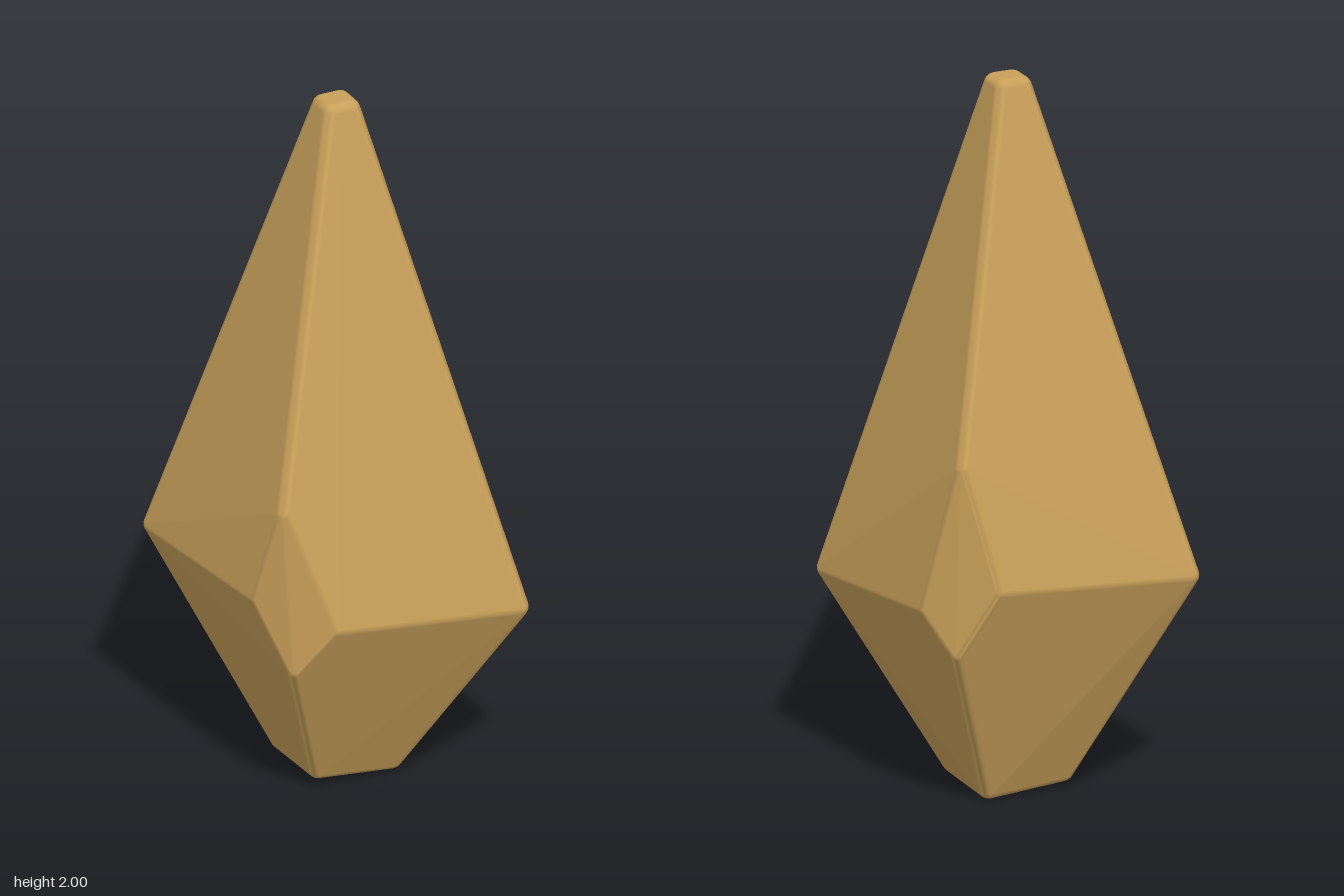
import * as THREE from 'three';
import { ConvexGeometry } from 'three/addons/geometries/ConvexGeometry.js';

const V = (x, y, z) => new THREE.Vector3(x, y, z);

// Convex solid with rounded edges: a ball of radius r swept over the hull of the corners
function roundedHull(corners, r) {
  const dirs = [];
  const addDir = (n) => {
    if (!dirs.some((d) => d.distanceTo(n) < 1e-3)) dirs.push(n);
  };

  // flat faces keep their exact normals
  const inner = new ConvexGeometry(corners).attributes.normal;
  for (let i = 0; i < inner.count; i += 3) addDir(V().fromBufferAttribute(inner, i));

  // ball directions for the rounding
  const ball = new THREE.IcosahedronGeometry(1, 2).attributes.position;
  for (let i = 0; i < ball.count; i++) addDir(V().fromBufferAttribute(ball, i).normalize());

  const points = corners.flatMap((c) => dirs.map((d) => c.clone().addScaledVector(d, r)));
  const geometry = new ConvexGeometry(points);

  // smooth normals point away from the ball centre that made each vertex
  const { position, normal } = geometry.attributes;
  for (let i = 0; i < position.count; i++) {
    const v = V().fromBufferAttribute(position, i);
    const off = (c) => Math.abs(c.distanceTo(v) - r);
    const centre = corners.reduce((a, b) => (off(b) < off(a) ? b : a));
    const n = v.sub(centre).normalize();
    normal.setXYZ(i, n.x, n.y, n.z);
  }
  return geometry;
}

export function createModel() {
  const group = new THREE.Group();
  group.name = 'crystal';

  const corners = [
    // narrow tip
    V(0.026, 1.97, 0.026), V(-0.026, 1.97, 0.026),
    V(0.026, 1.97, -0.026), V(-0.026, 1.97, -0.026),
    // two sharp corners of the belt
    V(0.362, 0.55, 0.362), V(-0.364, 0.64, -0.36),
    // front cut corner: top, two sides, bottom
    V(-0.285, 0.93, 0.262), V(-0.18, 0.6, 0.345),
    V(-0.33, 0.665, 0.2), V(-0.262, 0.47, 0.281),
    // back cut corner: top, two sides, bottom
    V(0.257, 1.0, -0.268), V(0.331, 0.6, -0.2),
    V(0.19, 0.67, -0.346), V(0.273, 0.485, -0.272),
    // slanted foot
    V(0.11, 0.04, 0.11), V(-0.11, 0.06, 0.108),
    V(0.11, 0.032, -0.11), V(-0.11, 0.05, -0.11),
  ];

  const mesh = new THREE.Mesh(
    roundedHull(corners, 0.03),
    new THREE.MeshStandardMaterial({ color: 0xc8a05a })
  );
  mesh.name = 'crystalBody';
  group.add(mesh);
  return group;
}
